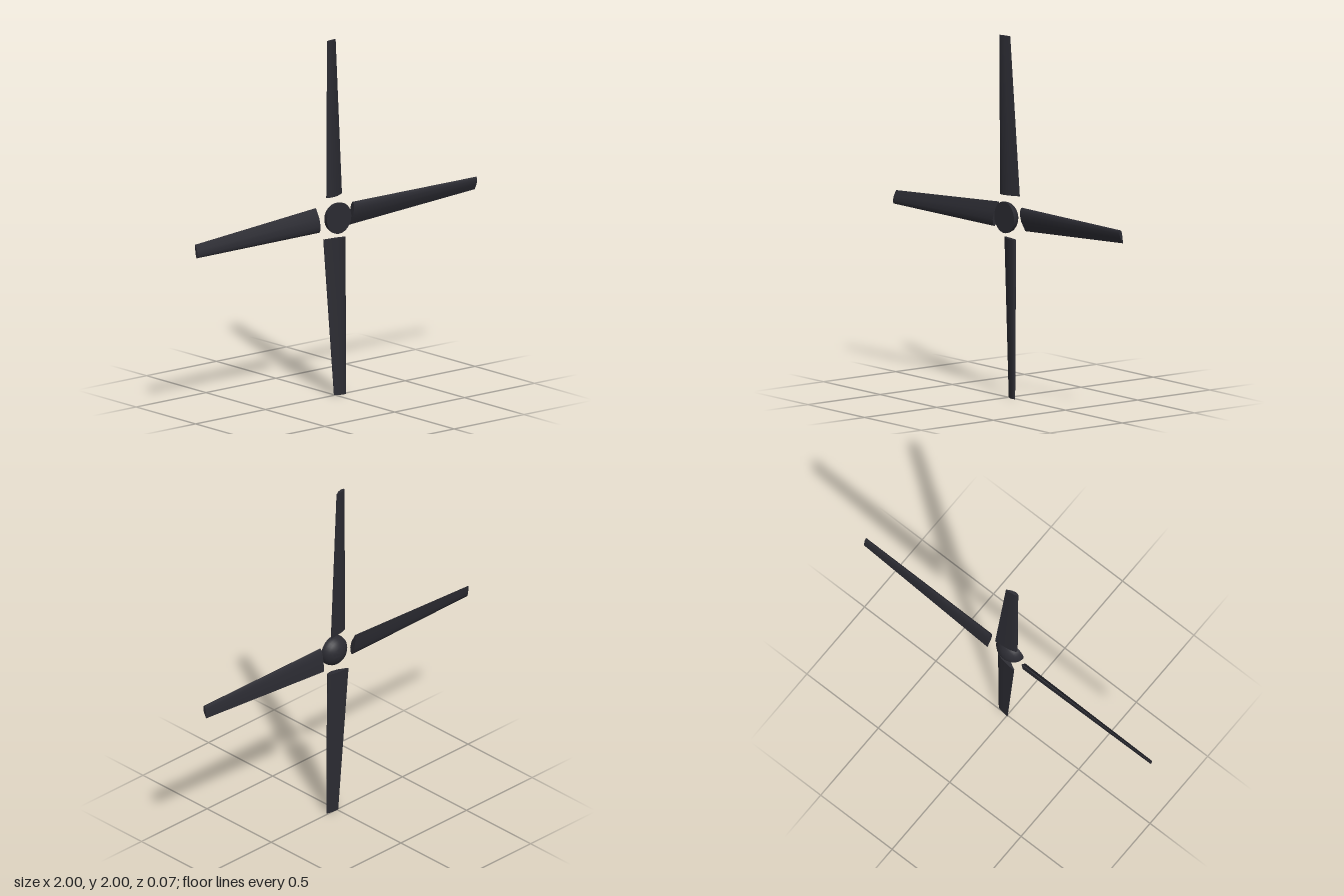
import * as THREE from 'three';
import { toCreasedNormals } from 'three/addons/utils/BufferGeometryUtils.js';

const ROOT = 0.12, TIP = 1, TIP_SCALE = 0.55;
const LEAD_X = -0.068, FRONT_Z = 0.018;

// Pitched aerofoil section, tapered towards its straight leading edge
function bladeGeometry() {
  const section = [ // x, z: leading edge, front face, trailing edge, back face
    [-0.068, 0.004], [-0.064, 0.011], [-0.053, 0.016], [-0.03, 0.018], [0.01, 0.009],
    [0.065, -0.02], [0.065, -0.025], [0.02, -0.021], [-0.03, -0.014], [-0.058, -0.005],
  ];
  const shape = new THREE.Shape(section.map(([x, z]) => new THREE.Vector2(x, -z)));
  const geo = new THREE.ExtrudeGeometry(shape, { depth: TIP - ROOT, bevelEnabled: false });
  geo.rotateX(-Math.PI / 2).translate(0, ROOT, 0);
  const p = geo.attributes.position;
  for (let i = 0; i < p.count; i++) {
    const s = THREE.MathUtils.mapLinear(p.getY(i), ROOT, TIP, 1, TIP_SCALE);
    p.setX(i, LEAD_X + (p.getX(i) - LEAD_X) * s);
    p.setZ(i, FRONT_Z + (p.getZ(i) - FRONT_Z) * s);
  }
  return toCreasedNormals(geo, 0.7);
}

// Flat disc in front, shallow dome behind
function hubGeometry() {
  const profile = [
    [0, -0.033], [0.087, -0.033], [0.086, -0.02], [0.081, -0.004], [0.07, 0.01],
    [0.054, 0.023], [0.036, 0.032], [0.018, 0.037], [0, 0.038],
  ].map(([r, y]) => new THREE.Vector2(r, y));
  const geo = new THREE.LatheGeometry(profile, 32);
  geo.rotateX(-Math.PI / 2);
  return toCreasedNormals(geo, 0.7);
}

export function createModel() {
  const charcoal = new THREE.MeshStandardMaterial({ color: 0x2b2b32 });
  charcoal.name = 'charcoal';

  const rotor = new THREE.Group();
  rotor.name = 'rotor';
  rotor.position.y = 1;

  const hub = new THREE.Mesh(hubGeometry(), charcoal);
  hub.name = 'hub';
  rotor.add(hub);

  const geo = bladeGeometry();
  ['topBlade', 'leftBlade', 'bottomBlade', 'rightBlade'].forEach((name, i) => {
    const blade = new THREE.Mesh(geo, charcoal);
    blade.name = name;
    blade.rotation.z = -i * Math.PI / 2;
    rotor.add(blade);
  });

  const model = new THREE.Group();
  model.name = 'propeller';
  model.add(rotor);
  return model;
}
